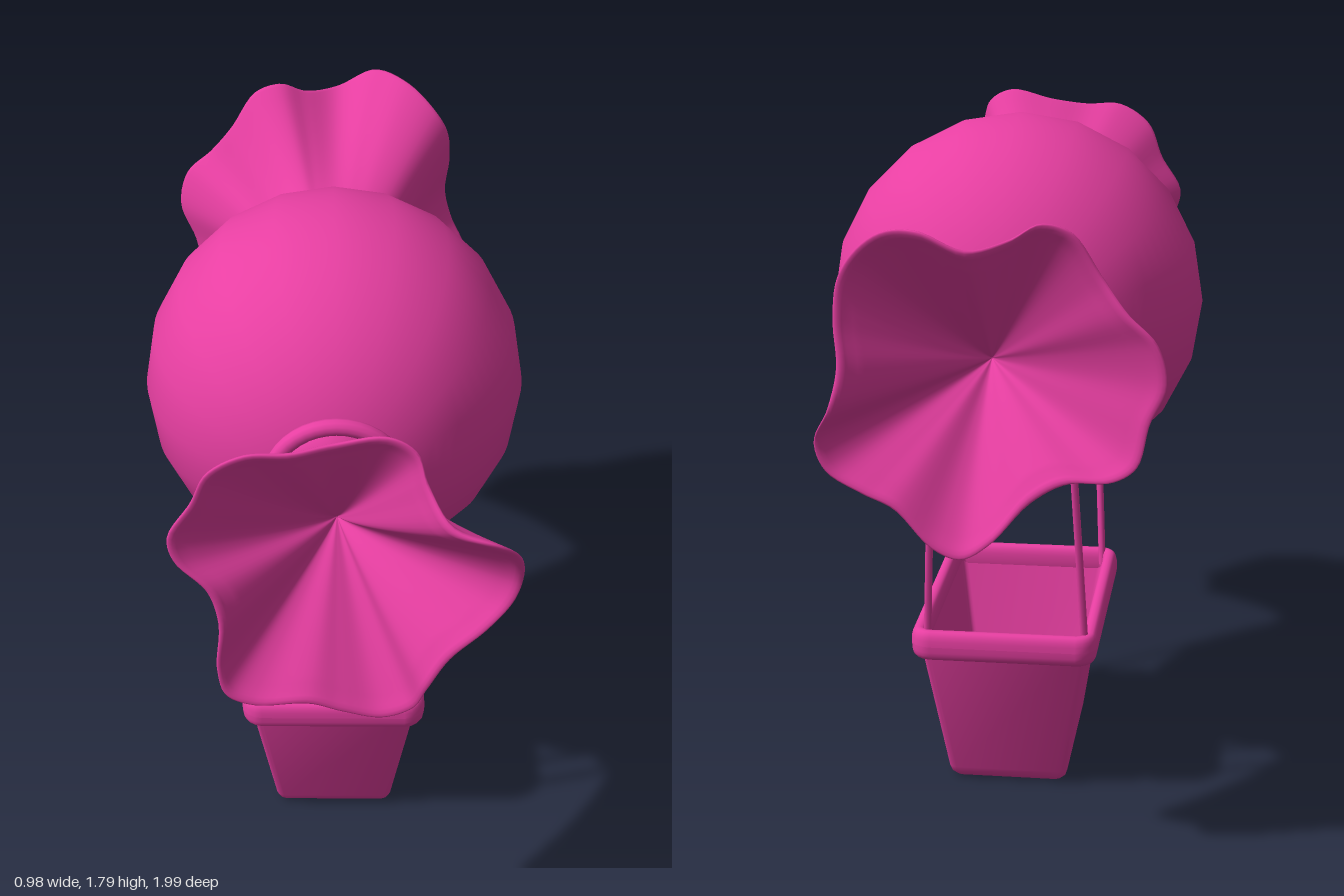
import * as THREE from 'three';
import { toCreasedNormals } from 'three/addons/utils/BufferGeometryUtils.js';

const V = (x, y, z) => new THREE.Vector3(x, y, z);
const CENTER_Y = 1.3;
const material = new THREE.MeshStandardMaterial({ color: 0xe83fa2, side: THREE.DoubleSide });

function part(name, geometry, x = 0, y = 0, z = 0) {
  const mesh = new THREE.Mesh(geometry, material);
  mesh.name = name;
  mesh.position.set(x, y, z);
  return mesh;
}

// Skin a list of closed rings that all have the same number of points
function loft(rings) {
  const n = rings[0].length;
  const index = [];
  for (let i = 0; i < rings.length - 1; i++) {
    for (let j = 0; j < n; j++) {
      const a = i * n + j, b = i * n + (j + 1) % n;
      index.push(a, b, b + n, a, b + n, a + n);
    }
  }
  const geometry = new THREE.BufferGeometry().setFromPoints(rings.flat());
  geometry.setIndex(index);
  geometry.computeVertexNormals();
  return geometry;
}

// Horizontal rounded rectangle with half sizes hx, hz and corner radius r
function roundedRect(hx, hz, r, y) {
  const points = [];
  for (let corner = 0; corner < 4; corner++) {
    const sx = corner === 0 || corner === 3 ? 1 : -1;
    const sz = corner < 2 ? -1 : 1;
    for (let k = 0; k <= 4; k++) {
      const a = (corner + k / 4) * Math.PI / 2;
      points.push(V(sx * (hx - r) + r * Math.cos(a), y, sz * (hz - r) - r * Math.sin(a)));
    }
  }
  return points;
}

// Wavy edge of the twisted wrapper, counter-clockwise around its axis
const rimCurve = new THREE.CatmullRomCurve3([
  [0.425, 0.01, 0.89], [0.415, 0.11, 0.94], [0.36, 0.185, 0.995], [0.255, 0.225, 0.985],
  [0.2, 0.3, 0.925], [0.175, 0.375, 0.9], [0.11, 0.41, 0.89], [-0.01, 0.385, 0.88],
  [-0.11, 0.37, 0.895], [-0.21, 0.37, 0.9], [-0.295, 0.315, 0.89], [-0.335, 0.22, 0.875],
  [-0.39, 0.125, 0.875], [-0.375, 0.06, 0.88], [-0.3, -0.02, 0.89], [-0.275, -0.11, 0.895],
  [-0.285, -0.25, 0.895], [-0.265, -0.33, 0.895], [-0.2, -0.36, 0.895], [-0.07, -0.355, 0.895],
  [0.01, -0.385, 0.89], [0.105, -0.41, 0.885], [0.175, -0.375, 0.895], [0.21, -0.28, 0.93],
  [0.26, -0.2, 0.92], [0.345, -0.13, 0.9], [0.405, -0.06, 0.885],
].map(p => V(...p)), true);

// Flared wrapper end: outer skin, rounded lip, shallow mouth creased to a point
function wrapperGeometry(side) {
  const rim = rimCurve.getPoints(144).slice(0, -1);
  if (side < 0) rim.reverse();
  const START = 0.46, NECK = 0.14, MEAN = 0.39, LIP = 0.026, APEX = 0.62;
  const steps = 20;
  const scaled = (p, R, r, z) => V(p.x / R * r, p.y / R * r, side * z);
  // Even trumpet flare, with folds that deepen towards the edge
  const outer = (t, inset) => rim.map(p => {
    const R = Math.hypot(p.x, p.y);
    const flare = (MEAN - NECK) * Math.pow(t, 1.5);
    const fold = (R + LIP / 2 - MEAN) * Math.pow(t, 1.8);
    return scaled(p, R, NECK + flare + fold - inset, START + (p.z - START) * t);
  });
  // Inside of the mouth, keeping the rim's shape down to the pinch
  const inner = u => rim.map(p => {
    const R = Math.hypot(p.x, p.y);
    const edge = START + (p.z - START) * 0.97;
    return scaled(p, R, (R - LIP) * u, APEX + (edge - APEX) * Math.pow(u, 0.85));
  });
  const rings = [];
  for (let i = 0; i < steps; i++) rings.push(outer(0.97 * i / steps, 0));
  for (let k = 0; k <= 6; k++) {
    const a = Math.PI * k / 6;
    rings.push(outer(0.97 + 0.03 * Math.sin(a), LIP * (1 - Math.cos(a)) / 2));
  }
  for (let i = steps - 1; i >= 0; i--) rings.push(inner(Math.max(0.005, i / steps)));
  return loft(rings);
}

// Tapered open basket with a soft bottom edge
function basketGeometry() {
  const rings = [
    [0.002, 0.002, 0.001, 0], [0.13, 0.215, 0.015, 0], [0.145, 0.23, 0.02, 0.004],
    [0.156, 0.242, 0.022, 0.016], [0.162, 0.25, 0.022, 0.035], [0.222, 0.352, 0.022, 0.43],
    [0.208, 0.335, 0.018, 0.43], [0.146, 0.232, 0.018, 0.03], [0.002, 0.002, 0.001, 0.03],
  ].map(s => roundedRect(...s));
  return toCreasedNormals(loft(rings), 0.7);
}

// Padded rail around the top of the basket
function rimGeometry() {
  const soft = v => Math.sign(v) * Math.pow(Math.abs(v), 0.8);
  const rings = [];
  for (let i = 0; i <= 20; i++) {
    const a = i / 20 * Math.PI * 2;
    const d = 0.021 * soft(Math.cos(a));
    rings.push(roundedRect(0.227 + d, 0.351 + d, 0.034 + d, 0.432 + 0.041 * soft(Math.sin(a))));
  }
  return loft(rings);
}

function rope(name, from, to) {
  const axis = to.clone().sub(from);
  const mesh = part(name, new THREE.CylinderGeometry(0.01, 0.01, axis.length(), 8));
  mesh.position.copy(from).add(to).multiplyScalar(0.5);
  mesh.quaternion.setFromUnitVectors(V(0, 1, 0), axis.normalize());
  return mesh;
}

export function createModel() {
  const model = new THREE.Group();
  model.name = 'candyBalloon';

  // Everything above the basket is turned about one degree
  const balloon = new THREE.Group();
  balloon.name = 'balloon';
  balloon.rotation.y = 0.018;
  model.add(balloon);

  // Round envelope, poles along z
  const ball = new THREE.SphereGeometry(0.49, 20, 40).rotateX(Math.PI / 2);
  balloon.add(part('envelope', ball, 0, CENTER_Y, 0));

  for (const side of [1, -1]) {
    const end = side > 0 ? 'front' : 'back';

    // Twisted wrapper ends; the back one is mirrored and turned
    const wrapper = part(end + 'Wrapper', wrapperGeometry(side), 0, CENTER_Y, 0);
    if (side < 0) wrapper.rotation.z = Math.PI / 4;
    balloon.add(wrapper);

    // Tie ring around each neck
    const tie = new THREE.TorusGeometry(0.164, 0.021, 12, 40);
    balloon.add(part(end + 'TieRing', tie, 0, CENTER_Y, side * 0.48));

    // Ropes from the tie rings to the basket corners
    for (const sx of [1, -1]) {
      const name = end + (sx > 0 ? 'Left' : 'Right') + 'Rope';
      balloon.add(rope(name, V(sx * 0.21, 0.43, side * 0.325), V(sx * 0.168, 1.27, side * 0.468)));
    }
  }

  model.add(part('basket', basketGeometry()));
  model.add(part('basketRim', rimGeometry()));
  return model;
}
